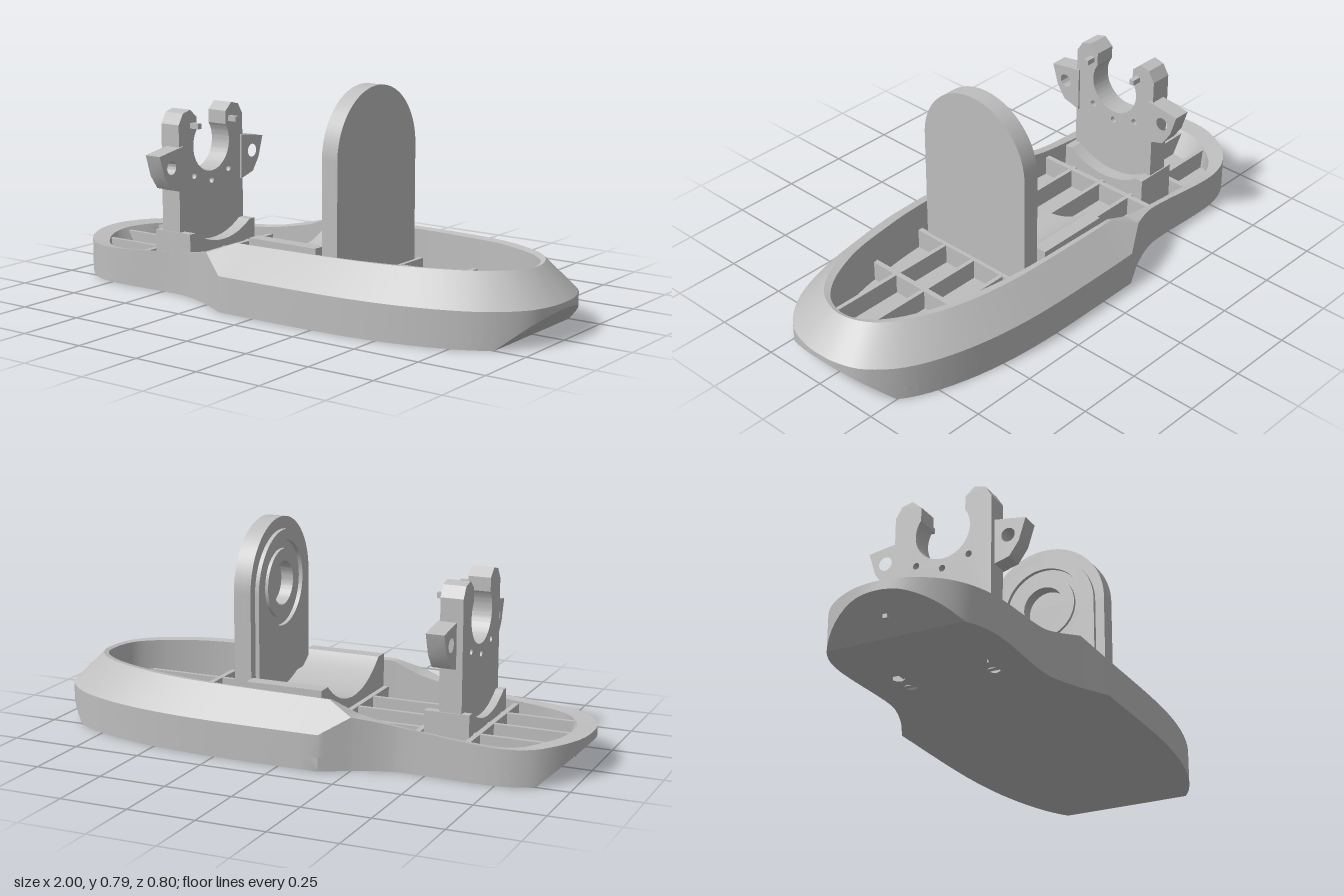
import * as THREE from 'three';
import { toCreasedNormals } from 'three/addons/utils/BufferGeometryUtils.js';

const grey = new THREE.MeshStandardMaterial({ color: 0xbebebe });
grey.name = 'plain grey';

// Half plan from stern to bow: outer x,z | rim x,z | pocket x,z | edge height | rim height
const PLAN = [
  [-1.0, 0, -1.0, 0, -0.93, 0, 0.14, 0.14],
  [-0.985, 0.1, -0.985, 0.1, -0.915, 0.09, 0.138, 0.138],
  [-0.93, 0.2, -0.93, 0.2, -0.87, 0.17, 0.135, 0.135],
  [-0.85, 0.265, -0.85, 0.265, -0.81, 0.23, 0.13, 0.13],
  [-0.72, 0.295, -0.72, 0.295, -0.71, 0.26, 0.133, 0.133],
  [-0.45, 0.29, -0.45, 0.29, -0.45, 0.265, 0.155, 0.155],
  [-0.35, 0.305, -0.35, 0.305, -0.35, 0.27, 0.17, 0.17],
  [-0.25, 0.345, -0.25, 0.345, -0.25, 0.275, 0.19, 0.19],
  [-0.15, 0.4, -0.15, 0.3, -0.15, 0.28, 0.13, 0.23],
  [0.25, 0.4, 0.25, 0.3, 0.25, 0.275, 0.13, 0.235],
  [0.5, 0.38, 0.46, 0.285, 0.45, 0.255, 0.13, 0.237],
  [0.7, 0.335, 0.63, 0.25, 0.61, 0.225, 0.13, 0.24],
  [0.85, 0.27, 0.77, 0.19, 0.75, 0.17, 0.13, 0.24],
  [0.95, 0.18, 0.85, 0.125, 0.835, 0.11, 0.13, 0.24],
  [0.99, 0.09, 0.885, 0.06, 0.87, 0.055, 0.13, 0.238],
  [1.0, 0, 0.895, 0, 0.88, 0, 0.13, 0.236],
];
const CORNERS = [7, 8];
const FLOOR = 0.05, DECK = 0.125, CUT = 0.88;

const mirrorRow = (r) => r.map((v, c) => (c === 1 || c === 3 || c === 5 ? -v : v));

// Smooth loop around the hull, keeping the flare corners sharp
function hullLoop(steps = 4) {
  const last = PLAN.length - 1, half = [];
  for (let i = 0; i < last; i++) {
    const b = PLAN[i], c = PLAN[i + 1];
    const a = i === 0 ? mirrorRow(PLAN[1]) : CORNERS.includes(i) ? b : PLAN[i - 1];
    const d = i + 1 === last ? mirrorRow(PLAN[last - 1]) : CORNERS.includes(i + 1) ? c : PLAN[i + 2];
    for (let s = 0; s < steps; s++) {
      const t = s / steps;
      half.push(b.map((v, k) => v + 0.5 * t * (c[k] - a[k] + t * (2 * a[k] - 5 * v + 4 * c[k] - d[k]
        + t * (3 * (v - c[k]) + d[k] - a[k])))));
    }
  }
  half.push(PLAN[last]);
  return half.concat(half.slice(1, -1).reverse().map(mirrorRow));
}

const clampX = (x, m) => Math.max(-m, Math.min(m, x));

function hullGeometry(loop) {
  const rings = [
    (r) => [clampX(r[0], CUT), 0, r[1]],
    (r) => [r[0], Math.max(0, (Math.abs(r[0]) - CUT) * 0.9), r[1]],
    (r) => [r[0], r[6], r[1]],
    (r) => [r[2], r[7], r[3]],
    (r) => [r[4], r[7] - 0.005, r[5]],
    (r) => [clampX(r[4], 0.87), FLOOR - 0.01, r[5]],
  ].map((f) => loop.map(f));
  const pos = [], idx = [], n = loop.length;
  rings.forEach((ring) => ring.forEach((p) => pos.push(...p)));
  for (let k = 0; k < rings.length - 1; k++) {
    for (let i = 0; i < n; i++) {
      const j = (i + 1) % n, a = k * n + i, b = k * n + j;
      idx.push(a, b, b + n, a, b + n, a + n);
    }
  }
  const g = new THREE.BufferGeometry();
  g.setAttribute('position', new THREE.Float32BufferAttribute(pos, 3));
  g.setIndex(idx);
  return toCreasedNormals(g, 0.5);
}

const hole = (x, y, r) => new THREE.Path().absarc(x, y, r, 0, Math.PI * 2, true);
const polygon = (pts) => new THREE.Shape(pts.map(([x, y]) => new THREE.Vector2(x, y)));

// Extrude a (z, y) outline along x from x0 to x1
function alongX(shape, x0, x1) {
  const g = new THREE.ExtrudeGeometry(shape, { depth: x1 - x0, bevelEnabled: false, curveSegments: 32 });
  g.rotateY(Math.PI / 2).translate(x0, 0, 0);
  return toCreasedNormals(g, 0.5);
}

function arch(w, y0, yc) {
  const s = new THREE.Shape();
  s.moveTo(-w, y0);
  s.lineTo(w, y0);
  s.lineTo(w, yc);
  s.absarc(0, yc, w, 0, Math.PI, false);
  s.closePath();
  return s;
}

// Block whose top is hollowed by an arc of half-width a and given depth
function saddleShape(w, y0, y1, a, depth) {
  const r = (a * a + depth * depth) / (2 * depth), ang = Math.asin(a / r);
  const s = new THREE.Shape();
  s.moveTo(-w, y0);
  s.lineTo(w, y0);
  s.lineTo(w, y1);
  s.lineTo(a, y1);
  s.absarc(0, y1 - depth + r, r, -Math.PI / 2 + ang, -Math.PI / 2 - ang, true);
  s.lineTo(-w, y1);
  s.closePath();
  return s;
}

export function createModel() {
  const model = new THREE.Group();
  const add = (name, geometry, parent = model) => {
    const m = new THREE.Mesh(geometry, grey);
    m.name = name;
    parent.add(m);
    return m;
  };
  const box = (name, x0, x1, y0, y1, z0, z1, parent) =>
    add(name, new THREE.BoxGeometry(x1 - x0, y1 - y0, z1 - z0), parent)
      .position.set((x0 + x1) / 2, (y0 + y1) / 2, (z0 + z1) / 2);

  // Hull walls and rim
  const loop = hullLoop();
  add('hull', hullGeometry(loop));

  // Floor with screw holes
  const floor = polygon(loop.map((r) => [clampX(r[0], CUT), r[1]]));
  for (const x of [-0.59, -0.51, -0.1, 0.03]) {
    for (const z of [-0.155, 0.155]) floor.holes.push(hole(x, z, 0.023));
  }
  const floorGeo = new THREE.ExtrudeGeometry(floor, { depth: FLOOR, bevelEnabled: false, curveSegments: 4 });
  floorGeo.rotateX(Math.PI / 2).translate(0, FLOOR, 0);
  add('floor', floorGeo);

  // Stiffening ribs, each ending in the pocket wall
  const ribs = new THREE.Group();
  ribs.name = 'ribs';
  model.add(ribs);
  const pocket = loop.slice(0, loop.length / 2 + 1);
  const widthAt = (x) => {
    const i = Math.max(1, pocket.findIndex((r) => r[4] >= x));
    const a = pocket[i - 1], b = pocket[i];
    return a[5] + (b[5] - a[5]) * (x - a[4]) / (b[4] - a[4]);
  };
  for (const x of [-0.635, -0.435, -0.12, 0.25, 0.5]) {
    const w = widthAt(x) + 0.004;
    box('crossRib', x - 0.01, x + 0.01, FLOOR - 0.01, DECK, -w, w, ribs);
  }
  for (const z of [-0.14, 0, 0.14]) {
    const inside = pocket.filter((r) => r[5] >= Math.abs(z));
    box('longRib', inside[0][4] - 0.01, inside[inside.length - 1][4] + 0.01,
      FLOOR - 0.01, DECK - 0.001, z - 0.008, z + 0.008, ribs);
  }

  // Hollowed saddle next to the upright
  add('saddle', alongX(saddleShape(0.278, 0.04, 0.25, 0.225, 0.09), -0.11, 0.18));

  // Arched upright: solid back, bored middle, ringed face
  const upright = new THREE.Group();
  upright.name = 'upright';
  model.add(upright);
  add('uprightBack', alongX(arch(0.24, 0.04, 0.55), 0.215, 0.245), upright);
  const middle = arch(0.24, 0.04, 0.55);
  middle.holes.push(hole(0, 0.55, 0.08));
  add('uprightMiddle', alongX(middle, 0.18, 0.215), upright);
  const face = arch(0.205, 0.2, 0.54);
  face.holes.push(hole(0, 0.55, 0.155));
  add('uprightFace', alongX(face, 0.165, 0.18), upright);
  const collar = new THREE.Shape().absarc(0, 0.55, 0.125, 0, Math.PI * 2, false);
  collar.holes.push(hole(0, 0.55, 0.08));
  add('bearingCollar', alongX(collar, 0.168, 0.18), upright);

  // Rear rest: hollowed foot, forked plate, side lugs and pins
  const rest = new THREE.Group();
  rest.name = 'rearRest';
  model.add(rest);
  add('restFoot', alongX(saddleShape(0.19, 0.04, 0.2, 0.16, 0.05), -0.62, -0.455), rest);
  const fork = new THREE.Shape();
  fork.moveTo(-0.185, 0.1);
  fork.lineTo(0.185, 0.1);
  for (const [z, y] of [[0.185, 0.6], [0.16, 0.64], [0.12, 0.65], [0.085, 0.62], [0.085, 0.57]]) fork.lineTo(z, y);
  fork.absarc(0, 0.51, 0.104, 0.615, Math.PI - 0.615, true);
  for (const [z, y] of [[-0.085, 0.62], [-0.12, 0.65], [-0.16, 0.64], [-0.185, 0.6]]) fork.lineTo(z, y);
  fork.closePath();
  for (const z of [-0.1, 0, 0.1]) fork.holes.push(hole(z, z ? 0.4 : 0.37, 0.012));
  add('forkPlate', alongX(fork, -0.59, -0.507), rest);
  for (const s of [-1, 1]) {
    const lug = polygon([[0.17, 0.52], [0.24, 0.51], [0.3, 0.5], [0.275, 0.42], [0.24, 0.37], [0.17, 0.35]]
      .map(([z, y]) => [z * s, y]));
    lug.holes.push(hole(0.235 * s, 0.45, 0.025));
    add('sideLug', alongX(lug, -0.567, -0.5), rest);
    box('pin', -0.52, -0.47, 0.58, 0.6, s * 0.11 - 0.01, s * 0.11 + 0.01, rest);
  }
  return model;
}
